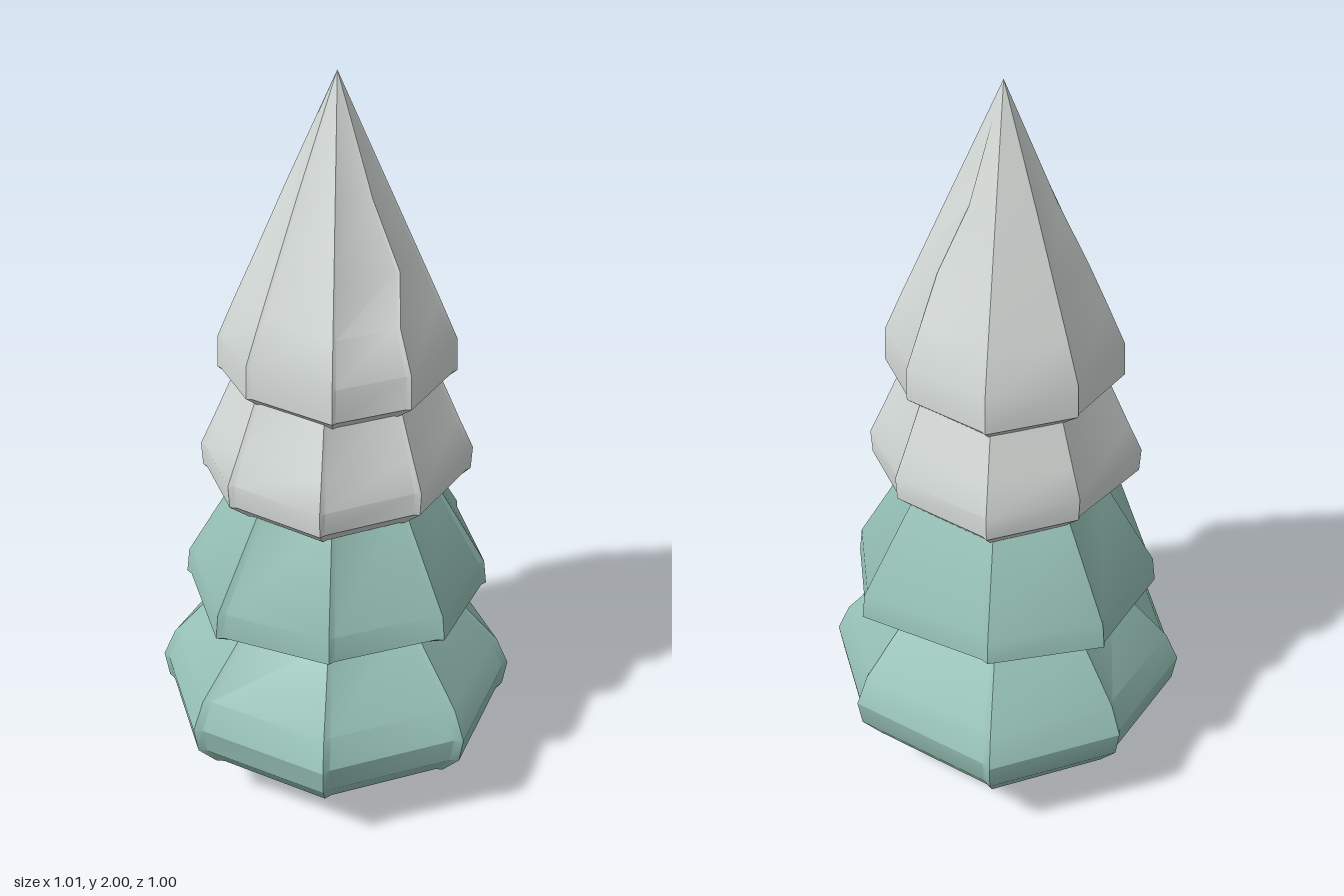
import * as THREE from 'three';
import { toCreasedNormals } from 'three/addons/utils/BufferGeometryUtils.js';

// Corners of each tier at its widest point, as [x, z], running from +x round through +z.
// Profiles are [scale, y], from the underside over the hem to the top.
// Bends shift single ridge points, as [corner, ring, dx, dz].
const TIERS = [
  {
    name: 'bottomBranches', snowy: false, bends: [],
    corners: [[0.505, -0.01], [0.345, 0.35], [-0.01, 0.5], [-0.355, 0.34], [-0.505, 0], [-0.39, -0.35], [0.02, -0.5], [0.335, -0.365]],
    profile: [[0.86, 0.14], [0.975, 0.21], [1, 0.285], [0.93, 0.365], [0.6, 0.55]],
  },
  {
    name: 'lowerBranches', snowy: false, bends: [],
    corners: [[0.42, -0.01], [0.285, 0.275], [0.015, 0.43], [-0.305, 0.28], [-0.45, -0.02], [-0.31, -0.295], [0.03, -0.46], [0.295, -0.3]],
    profile: [[0.2, 0.515], [0.76, 0.505], [1, 0.57], [0.98, 0.64], [0.62, 0.9]],
  },
  {
    name: 'upperBranches', snowy: true, bends: [],
    corners: [[0.34, 0.01], [0.235, 0.26], [-0.015, 0.35], [-0.255, 0.25], [-0.345, -0.03], [-0.26, -0.26], [0.01, -0.35], [0.245, -0.275]],
    profile: [[0.65, 0.9], [0.82, 0.872], [0.99, 0.925], [1, 0.99], [0.9, 1.07], [0.72, 1.22]],
  },
  {
    name: 'crown', snowy: true,
    bends: [[0, 5, 0, -0.04], [0, 6, 0, -0.01], [3, 6, -0.015, -0.015], [6, 5, 0.012, 0.01], [6, 6, -0.02, 0.01]],
    corners: [[0.31, 0.02], [0.22, 0.205], [-0.01, 0.29], [-0.22, 0.215], [-0.32, -0.02], [-0.23, -0.24], [0, -0.315], [0.215, -0.24]],
    profile: [[0.6, 1.22], [0.79, 1.17], [0.99, 1.22], [0.98, 1.31], [0.83, 1.42], [0.66, 1.54], [0.42, 1.71], [0, 2]],
  },
];

// Octagonal shell whose side panels overlap in a small step at every corner
function tierGeometry({ corners, profile, bends }) {
  const n = corners.length;
  const outline = [];
  corners.forEach(([x, z], i) => {
    const [px, pz] = corners[(i + n - 1) % n];
    const [nx, nz] = corners[(i + 1) % n];
    const lift = i % 2 ? -0.007 : 0.005;
    const tuck = (ox, oz) => ({ x: (x * 0.95 + ox * 0.05) * 0.98, z: (z * 0.95 + oz * 0.05) * 0.98, lift });
    const tip = { x, z, lift };
    if (i > 0 && i < 5) outline.push(tuck(px, pz), tip);
    else outline.push(tip, tuck(nx, nz));
  });

  // Rings lean slightly towards the tip as they shrink
  const rings = profile.map(([s, y]) => outline.map((p) => [
    p.x * s - 0.012 * (1 - s),
    y + (s > 0 ? p.lift : 0),
    p.z * s - 0.02 * (1 - s),
  ]));
  for (const [corner, ring, dx, dz] of bends) {
    for (const p of rings[ring].slice(corner * 2, corner * 2 + 2)) {
      p[0] += dx;
      p[2] += dz;
    }
  }

  const positions = [];
  for (let j = 0; j < rings.length - 1; j++) {
    for (let i = 0; i < outline.length; i++) {
      const k = (i + 1) % outline.length;
      const a = rings[j][i], b = rings[j][k], c = rings[j + 1][k], d = rings[j + 1][i];
      positions.push(...a, ...d, ...b);
      if (profile[j + 1][0] > 0) positions.push(...b, ...d, ...c);
    }
  }
  const geometry = new THREE.BufferGeometry();
  geometry.setAttribute('position', new THREE.Float32BufferAttribute(positions, 3));
  // Panels curve softly from hem to top, with sharp corners between them
  return toCreasedNormals(geometry, 0.5);
}

export function createModel() {
  const material = (name, color, options) => {
    const m = new THREE.MeshStandardMaterial({ color, ...options });
    m.name = name;
    return m;
  };
  const needles = material('needle green', 0x96c1b6, { side: THREE.DoubleSide });
  const snow = material('snow grey', 0xd2d8d5, { side: THREE.DoubleSide });
  const bark = material('bark brown', 0x5a4c4c, { flatShading: true });

  const tree = new THREE.Group();
  tree.name = 'tree';

  // Trunk
  const trunk = new THREE.Mesh(new THREE.CylinderGeometry(0.09, 0.117, 0.6, 8), bark);
  trunk.geometry.rotateY(Math.PI / 8);
  trunk.name = 'trunk';
  trunk.position.set(-0.01, 0.3, -0.01);
  tree.add(trunk);

  // Branch tiers, snow covered towards the top
  TIERS.forEach((tier) => {
    const mesh = new THREE.Mesh(tierGeometry(tier), tier.snowy ? snow : needles);
    mesh.name = tier.name;
    tree.add(mesh);
  });
  return tree;
}
